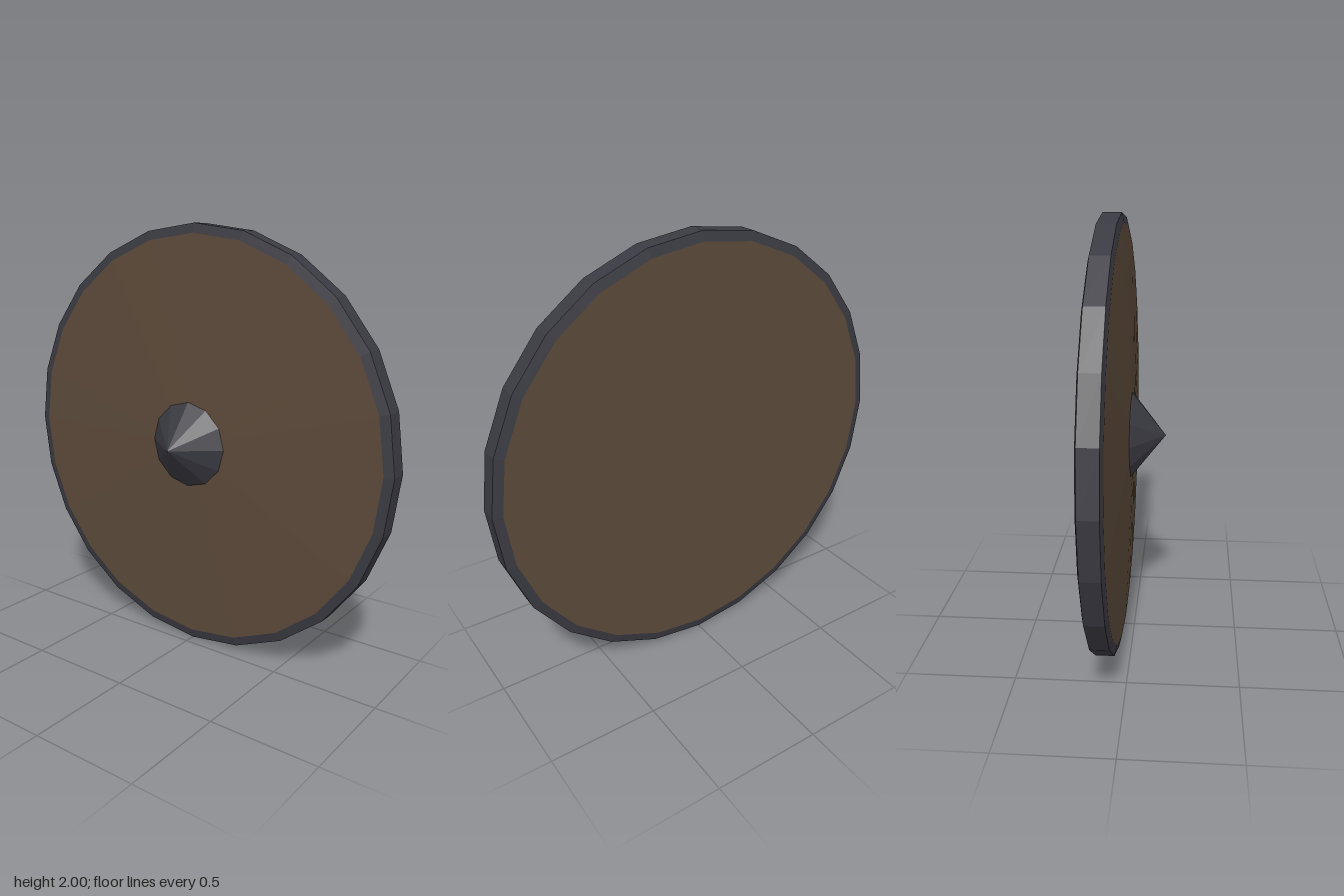
import * as THREE from 'three';

export function createModel() {
  const group = new THREE.Group();
  group.name = 'roundShield';
  const wood = new THREE.MeshStandardMaterial({ color: 0x5c4a3a });
  wood.name = 'brown wood';
  const iron = new THREE.MeshStandardMaterial({ color: 0x3a3a42 });
  iron.name = 'dark iron';

  // Faceted solid of revolution about the z axis; profile points are [radius, z], back to front
  function turned(name, profile, sides, material) {
    const points = profile.map(([r, z]) => new THREE.Vector2(r, z));
    const geometry = new THREE.LatheGeometry(points, sides).toNonIndexed();
    geometry.rotateX(Math.PI / 2);
    geometry.computeVertexNormals();
    const mesh = new THREE.Mesh(geometry, material);
    mesh.name = name;
    mesh.position.y = 1;
    group.add(mesh);
  }

  // Iron band with bevelled edges
  turned('rim', [[0.957, -0.147], [1, -0.137], [1, -0.053], [0.957, -0.043]], 24, iron);
  // Flat wooden back
  turned('backBoard', [[0, -0.147], [0.957, -0.147]], 24, wood);
  // Shallow domed wooden face
  turned('frontBoard', [[0.957, -0.043], [0.2, -0.01], [0, -0.002]], 24, wood);
  // Pointed central boss
  turned('boss', [[0.203, -0.012], [0, 0.147]], 12, iron);

  return group;
}
